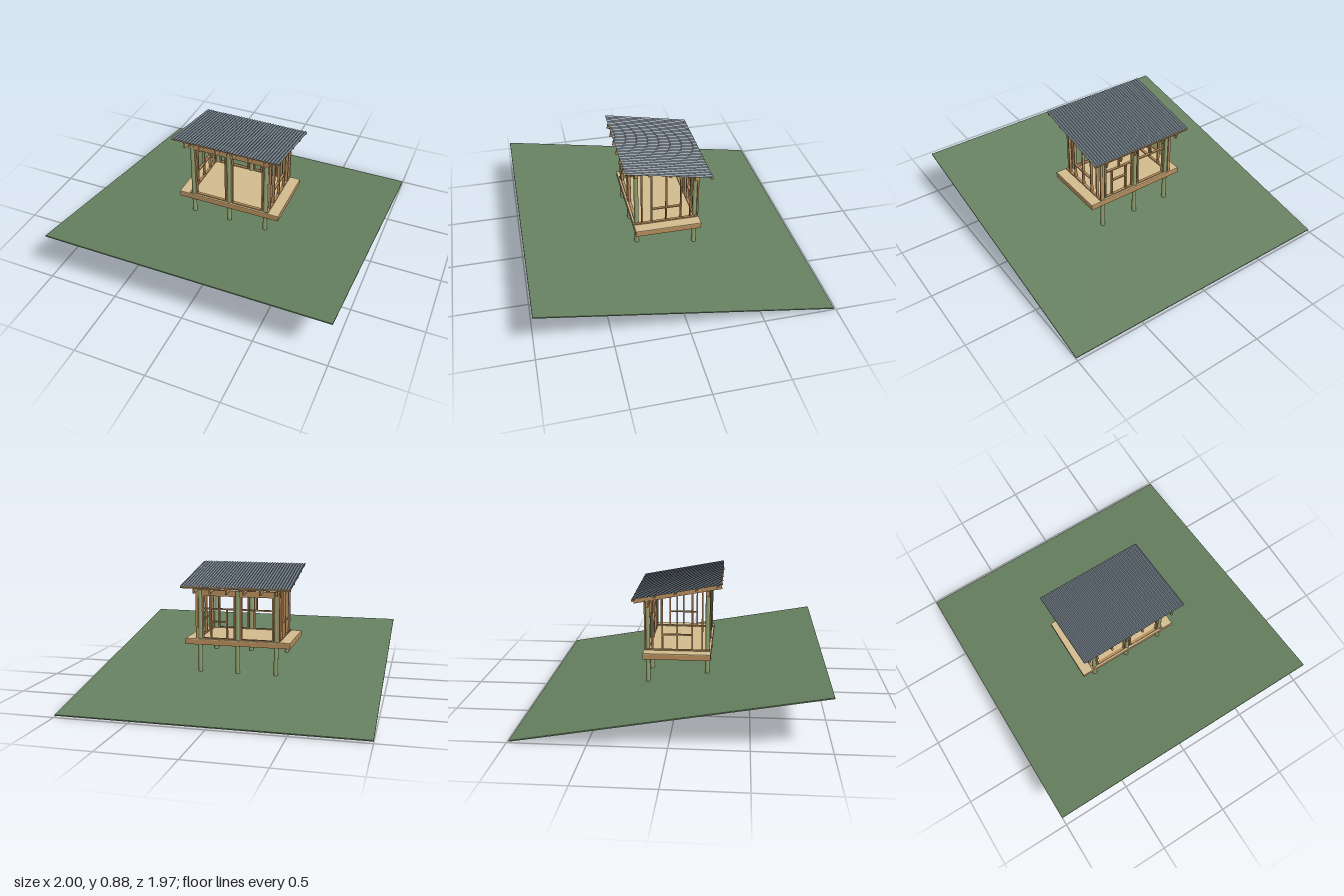
import * as THREE from 'three';

const mat = (name, color, side = THREE.FrontSide) => {
  const m = new THREE.MeshStandardMaterial({ color, side });
  m.name = name;
  return m;
};

export function createModel() {
  const grass = mat('grass green', 0x66805f);
  const pole = mat('treated pole green', 0x8f9f70);
  const wood = mat('framing timber', 0xb48a5a);
  const deckMat = mat('floor board', 0xd0bb8c);
  const steel = mat('roofing steel', 0x76838d, THREE.DoubleSide);
  steel.flatShading = true;

  const model = new THREE.Group();
  const group = (name, parent = model) => {
    const g = new THREE.Group();
    g.name = name;
    parent.add(g);
    return g;
  };
  // box given by its lower and upper bounds
  const box = (name, parent, m, x0, x1, y0, y1, z0, z1) => {
    const b = new THREE.Mesh(new THREE.BoxGeometry(x1 - x0, y1 - y0, z1 - z0), m);
    b.position.set((x0 + x1) / 2, (y0 + y1) / 2, (z0 + z1) / 2);
    b.name = name;
    parent.add(b);
    return b;
  };

  // sloping ground slab
  const ground = box('ground', model, grass, -1, 1, 0.181, 0.189, -1, 1);
  ground.rotation.x = -Math.atan(0.177);

  // six round poles running from below ground to the beams
  const poles = group('poles');
  for (const x of [-0.27, 0, 0.27]) {
    for (const [z, y0, y1] of [[0.205, 0.075, 0.805], [-0.205, 0, 0.73]]) {
      const p = new THREE.Mesh(new THREE.CylinderGeometry(0.0155, 0.0155, y1 - y0, 20), pole);
      p.position.set(x, (y0 + y1) / 2, z);
      p.name = 'pole';
      poles.add(p);
    }
  }

  // floor: rim, joists and deck
  const floor = group('floor');
  for (const s of [-1, 1]) {
    box('rimLong', floor, wood, -0.372, 0.372, 0.345, 0.38, s * 0.2235 - 0.005, s * 0.2235 + 0.005);
    box('rimShort', floor, wood, s * 0.367 - 0.005, s * 0.367 + 0.005, 0.345, 0.38, -0.2185, 0.2185);
  }
  for (let i = -5; i <= 5; i++) {
    const x = i * 0.06 + 0.0;
    box('joist', floor, wood, x - 0.005, x + 0.005, 0.345, 0.38, -0.2185, 0.2185);
  }
  box('deck', floor, deckMat, -0.372, 0.372, 0.38, 0.386, -0.2285, 0.2285);

  // underside of the rafters at depth z
  const slope = 0.19;
  const under = z => 0.768 + slope * z;

  // side walls: sloped row of studs with a middle rail
  for (const s of [-1, 1]) {
    const wall = group(s > 0 ? 'leftWall' : 'rightWall');
    const x0 = s * 0.288 - 0.009, x1 = s * 0.288 + 0.009;
    box('bottomPlate', wall, wood, x0, x1, 0.386, 0.394, -0.222, 0.222);
    for (const z of [-0.221, -0.17, -0.102, 0, 0.102, 0.17]) {
      box('stud', wall, wood, x0, x1, 0.39, under(z) + 0.004, z - 0.005, z + 0.005);
    }
    box('rail', wall, wood, x0, x1, 0.495, 0.503, -0.1, 0.1);
  }

  // front and back walls: studs flanking the poles, beam on top
  for (const [name, z, top] of [['frontWall', 0.205, 0.775], ['backWall', -0.205, 0.69]]) {
    const wall = group(name);
    for (const x of [-0.247, -0.024, 0.024, 0.247]) {
      box('stud', wall, wood, x - 0.005, x + 0.005, 0.386, top, z - 0.01, z + 0.01);
    }
    for (const s of [-1, 1]) {
      const a = s < 0 ? -0.247 : 0.024;
      box('bottomPlate', wall, wood, a, a + 0.223, 0.386, 0.393, z - 0.01, z + 0.01);
    }
  }
  const frontWall = model.getObjectByName('frontWall');
  box('frontBeam', frontWall, wood, -0.297, 0.297, 0.77, 0.808, 0.193, 0.217);

  // back wall window and door framing
  const back = model.getObjectByName('backWall');
  const zb = -0.214, zf = -0.196;
  box('backBeam', back, wood, -0.297, 0.297, 0.688, 0.73, zb, zf);
  for (const s of [-1, 1]) {
    const a = s < 0 ? -0.247 : 0.024;
    box('headRail', back, wood, a, a + 0.223, 0.594, 0.603, zb, zf);
    box('crippleStud', back, wood, s * 0.135 - 0.004, s * 0.135 + 0.004, 0.6, 0.69, zb, zf);
  }
  for (const x of [0.076, 0.191]) {
    box('jamb', back, wood, x - 0.005, x + 0.005, 0.39, 0.6, zb, zf);
  }
  box('sill', back, wood, 0.076, 0.191, 0.505, 0.514, zb, zf);

  // roof frame, built level and then tilted down to the back
  const roof = group('roof');
  roof.position.y = 0.768;
  roof.rotation.x = -Math.atan(slope);
  for (const x of [-0.288, -0.175, -0.06, 0.06, 0.175, 0.288]) {
    box('rafter', roof, wood, x - 0.006, x + 0.006, 0, 0.035, -0.298, 0.305);
  }
  for (const z of [-0.285, -0.142, 0, 0.142, 0.285]) {
    box('purlin', roof, wood, -0.383, 0.383, 0.035, 0.045, z - 0.009, z + 0.009);
  }

  // corrugated roof sheet
  const waves = 38;
  const sheetGeo = new THREE.PlaneGeometry(0.772, 0.6, waves * 8, 1);
  sheetGeo.rotateX(-Math.PI / 2);
  const pos = sheetGeo.attributes.position;
  for (let i = 0; i < pos.count; i++) {
    pos.setY(i, 0.0035 * Math.sin((pos.getX(i) / 0.772) * waves * 2 * Math.PI));
  }
  sheetGeo.computeVertexNormals();
  const sheet = new THREE.Mesh(sheetGeo, steel);
  sheet.position.set(0, 0.049, 0.008);
  sheet.name = 'corrugatedSheet';
  roof.add(sheet);

  return model;
}
